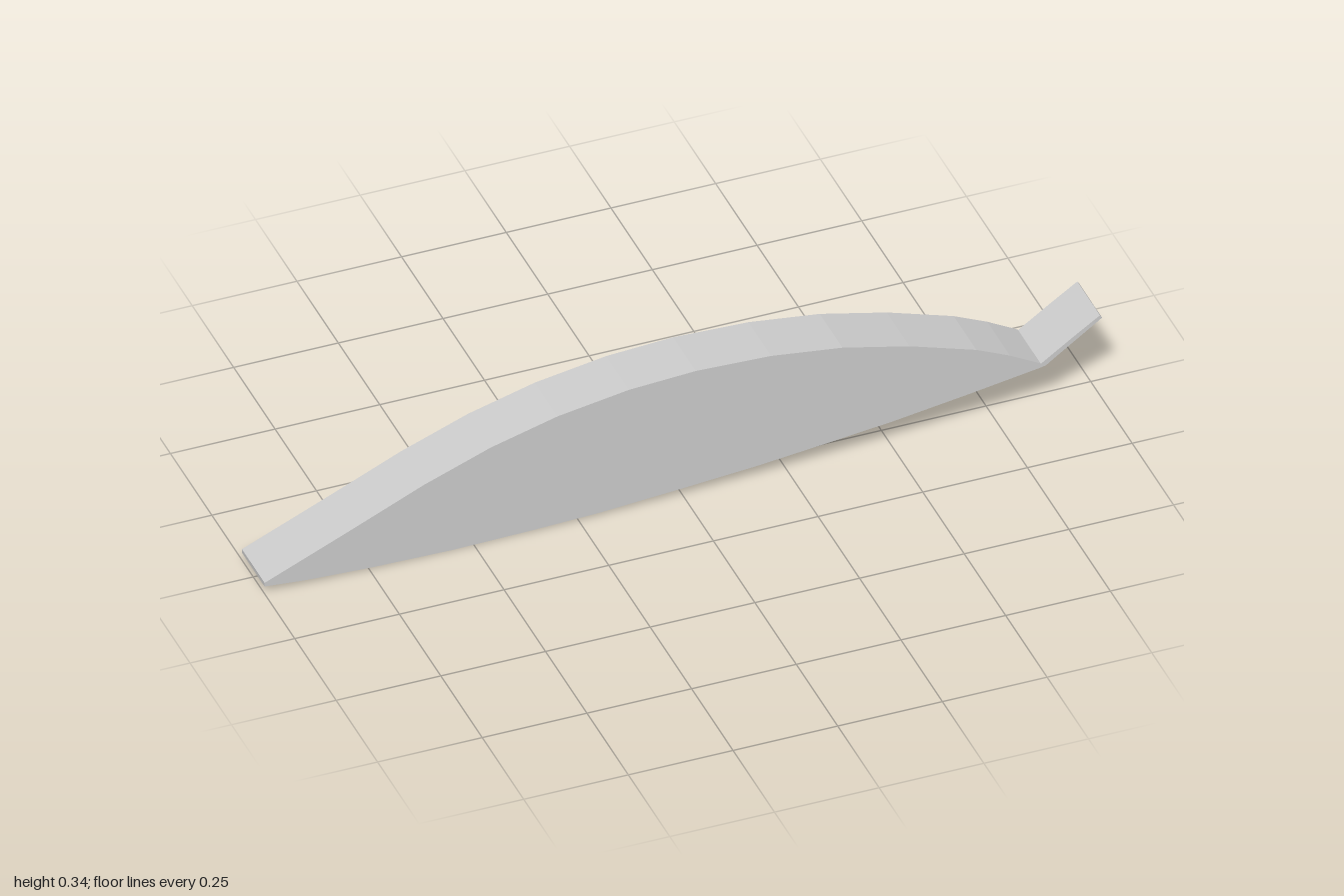
import * as THREE from 'three';

const SPAN = 0.137;

// Extrudes a closed side profile across the span, centred on z = 0
function extrudeProfile(name, points) {
  const shape = new THREE.Shape(points.map(([x, y]) => new THREE.Vector2(x, y)));
  const geometry = new THREE.ExtrudeGeometry(shape, { depth: SPAN, bevelEnabled: false });
  geometry.translate(0, 0, -SPAN / 2);
  const material = new THREE.MeshStandardMaterial({ color: 0xcccccc, flatShading: true });
  const mesh = new THREE.Mesh(geometry, material);
  mesh.name = name;
  return mesh;
}

export function createModel() {
  const group = new THREE.Group();
  group.name = 'wingSection';

  // Cambered body: gently curved underside, then the arched top
  const underside = [
    [-1, 0.02], [-0.9, 0.011], [-0.75, 0.004], [-0.55, 0], [-0.36, 0.003], [-0.2, 0.008],
    [0, 0.022], [0.18, 0.036], [0.34, 0.053], [0.5, 0.071], [0.68, 0.097], [0.858, 0.125],
  ];
  const top = [
    [0.853, 0.136], [0.78, 0.177], [0.7, 0.214], [0.54, 0.267], [0.38, 0.306], [0.21, 0.329],
    [0.03, 0.336], [-0.13, 0.327], [-0.3, 0.3], [-0.46, 0.257], [-0.62, 0.197], [-0.8, 0.117], [-1, 0.03],
  ];
  group.add(extrudeProfile('wingBody', [...underside, ...top]));

  // Thin flap turned up from the trailing edge
  group.add(extrudeProfile('trailingFlap', [
    [0.853, 0.125], [0.866, 0.127], [0.885, 0.141], [1, 0.222],
    [0.995, 0.23], [0.93, 0.187], [0.853, 0.134],
  ]));

  return group;
}
